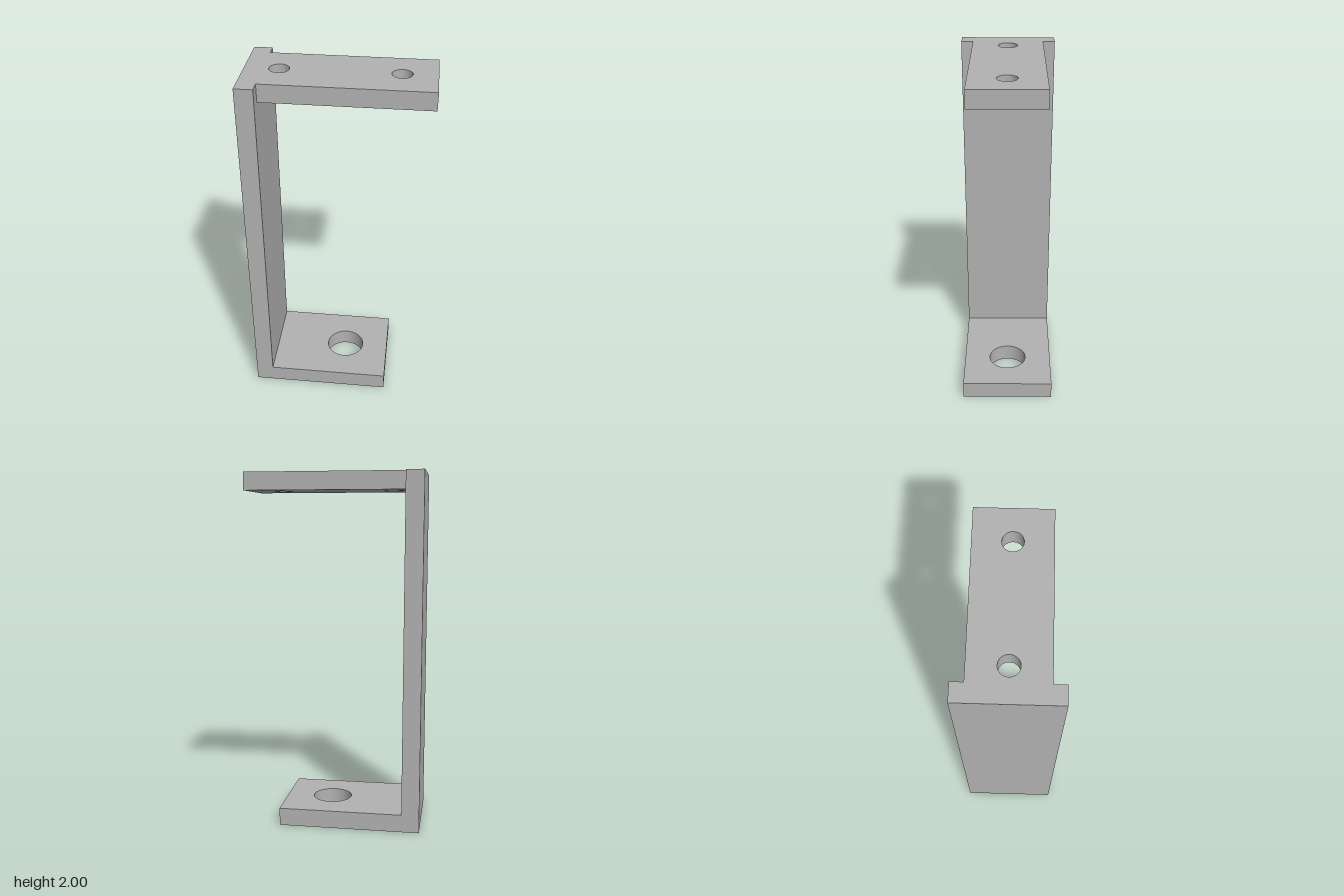
import * as THREE from 'three';
import { toCreasedNormals } from 'three/addons/utils/BufferGeometryUtils.js';

const THICK = 0.1;
const LEFT = -0.5; // outer face of the upright
const INNER = LEFT + THICK; // inner face of the upright
const HALF_DEPTH = 0.267;

// Horizontal plate running from the upright to xEnd, with round through holes
function flangeGeometry(xEnd, halfDepth, holes) {
  const shape = new THREE.Shape();
  shape.moveTo(INNER, -halfDepth);
  shape.lineTo(xEnd, -halfDepth);
  shape.lineTo(xEnd, halfDepth);
  shape.lineTo(INNER, halfDepth);
  shape.closePath();
  for (const [x, radius] of holes) {
    const hole = new THREE.Path();
    hole.absarc(x, 0, radius, 0, Math.PI * 2, true);
    shape.holes.push(hole);
  }
  const geometry = new THREE.ExtrudeGeometry(shape, {
    depth: THICK, bevelEnabled: false, curveSegments: 48,
  });
  geometry.rotateX(-Math.PI / 2);
  return toCreasedNormals(geometry, Math.PI / 6);
}

export function createModel() {
  const group = new THREE.Group();
  group.name = 'bracket';

  const grey = new THREE.MeshStandardMaterial({ color: 0xb2b2b2 });
  grey.name = 'grey metal';

  const add = (name, geometry, x, y) => {
    const mesh = new THREE.Mesh(geometry, grey);
    mesh.name = name;
    mesh.position.set(x, y, 0);
    group.add(mesh);
  };

  // Tall back plate
  add('upright', new THREE.BoxGeometry(THICK, 2, HALF_DEPTH * 2), LEFT + THICK / 2, 1);

  // Narrow long arm with two screw holes
  add('topFlange', flangeGeometry(0.5, 0.2, [[-0.317, 0.054], [0.316, 0.054]]), 0, 2 - THICK);

  // Wide short foot with one large hole
  add('bottomFlange', flangeGeometry(0.3, HALF_DEPTH, [[0.033, 0.112]]), 0, 0);

  return group;
}
